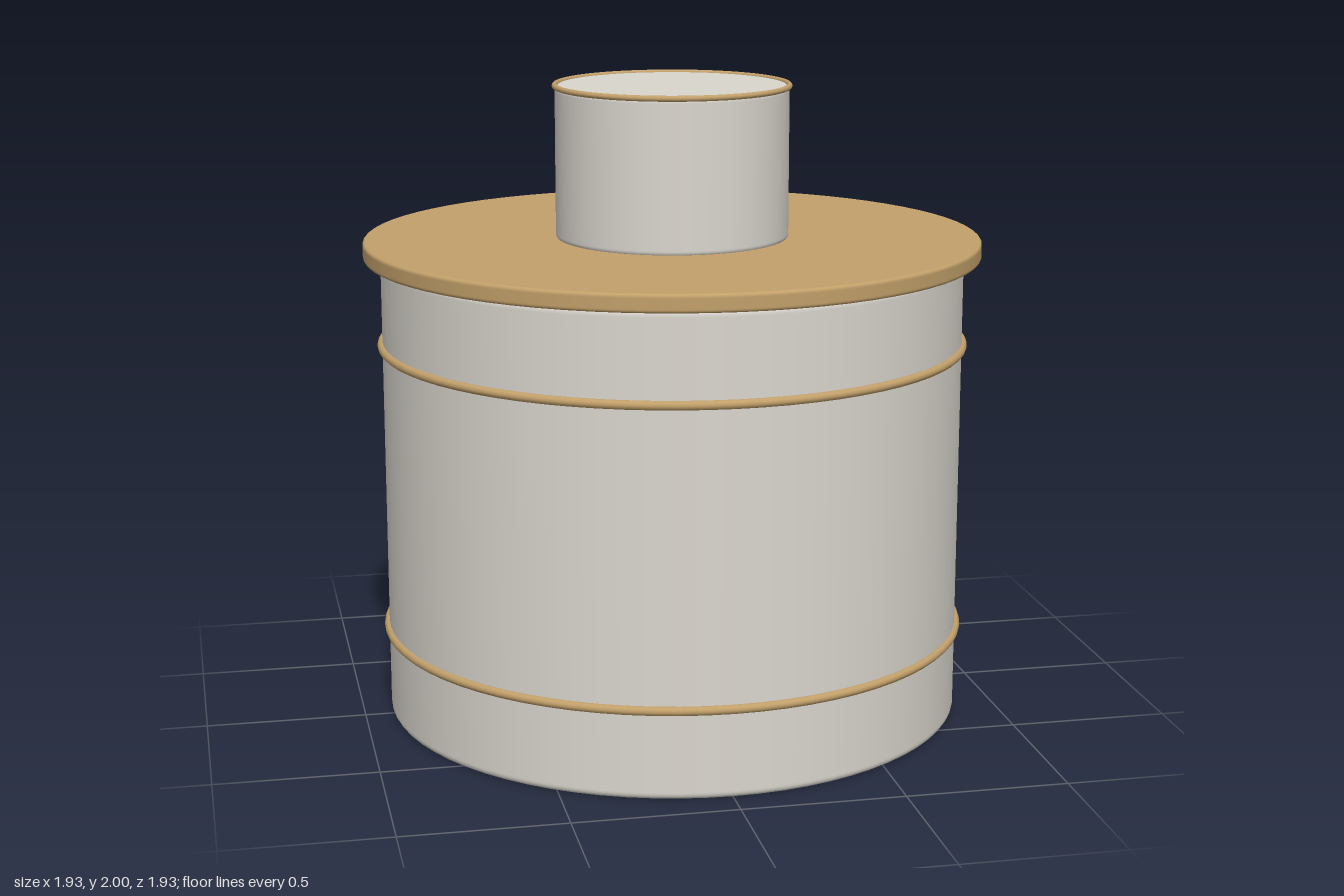
import * as THREE from 'three';

const SIDES = 72;

// Solid disc or drum with softly rounded rims, from y0 to y1
function roundedDrum(radius, y0, y1, bevel) {
  const points = [new THREE.Vector2(0, y0), new THREE.Vector2(radius - bevel * 1.3, y0)];
  const steps = 4;
  const corner = (cy, start) => {
    for (let i = 0; i <= steps; i++) {
      const a = start + (i / steps) * Math.PI / 2;
      points.push(new THREE.Vector2(radius - bevel + Math.cos(a) * bevel, cy + Math.sin(a) * bevel));
    }
  };
  corner(y0 + bevel, -Math.PI / 2);
  points.push(new THREE.Vector2(radius, y0 + bevel * 1.3), new THREE.Vector2(radius, y1 - bevel * 1.3));
  corner(y1 - bevel, 0);
  points.push(new THREE.Vector2(radius - bevel * 1.3, y1), new THREE.Vector2(0, y1));
  return new THREE.LatheGeometry(points, SIDES);
}

// Horizontal wire ring at height y
function ring(radius, tube, y) {
  return new THREE.TorusGeometry(radius, tube, 12, SIDES).rotateX(Math.PI / 2).translate(0, y, 0);
}

export function createModel() {
  const silver = new THREE.MeshStandardMaterial({ color: 0xdad6ce });
  silver.name = 'silver';
  const brass = new THREE.MeshStandardMaterial({ color: 0xc2a06a });
  brass.name = 'brass';

  const model = new THREE.Group();
  model.name = 'canister';
  const add = (name, geometry, material) => {
    const mesh = new THREE.Mesh(geometry, material);
    mesh.name = name;
    model.add(mesh);
  };

  // Main drum with its two bands
  add('body', roundedDrum(0.912, 0, 1.465, 0.018), silver);
  add('lowerBand', ring(0.914, 0.014, 0.277), brass);
  add('upperBand', ring(0.914, 0.014, 1.19), brass);

  // Wide flat shoulder plate
  add('shoulderPlate', roundedDrum(0.966, 1.464, 1.52, 0.01), brass);

  // Neck with a thin rim ring
  add('neck', roundedDrum(0.364, 1.515, 1.993, 0.014), silver);
  add('neckRim', ring(0.364, 0.009, 1.991), brass);

  return model;
}
